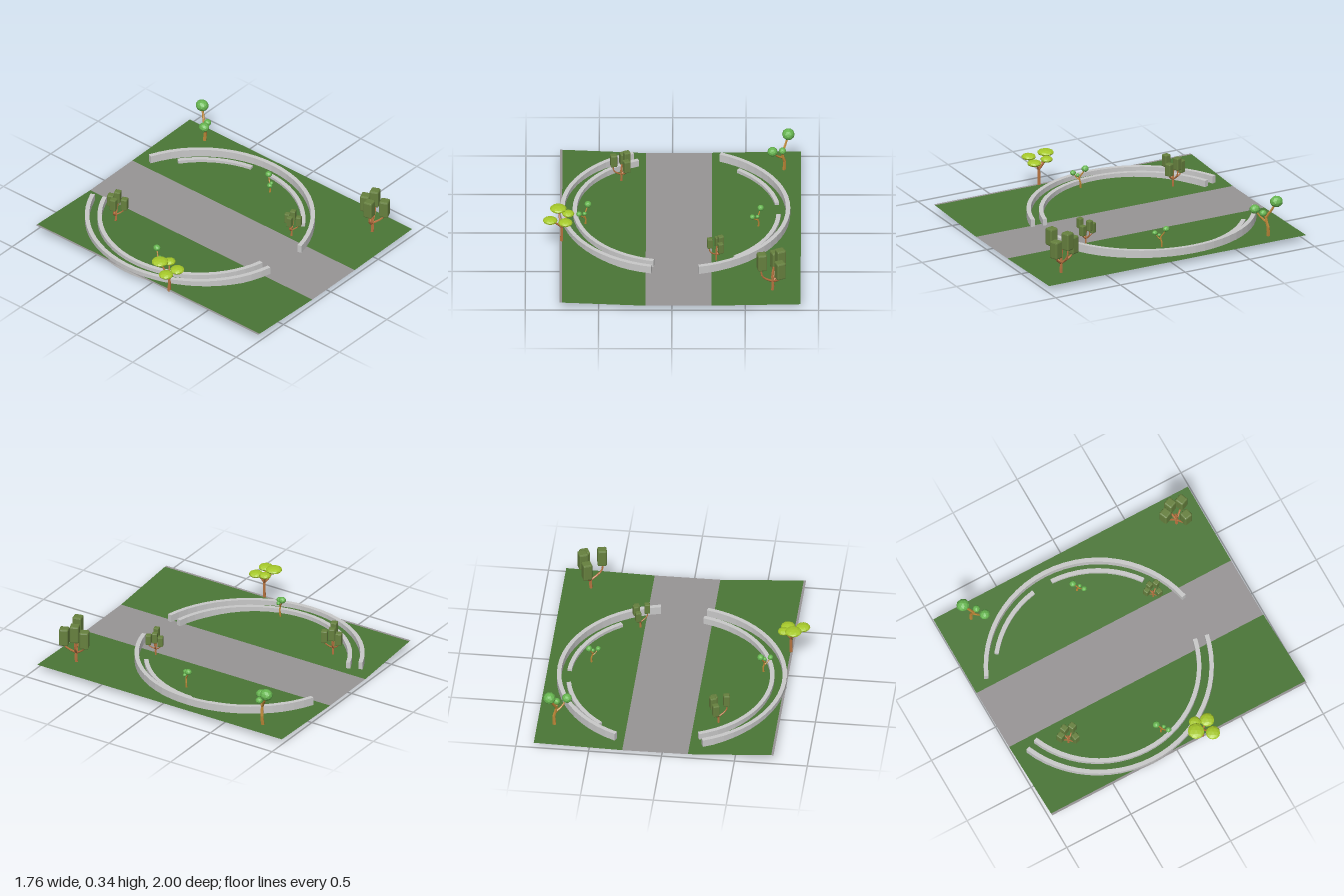
import * as THREE from 'three';
import { RoundedBoxGeometry } from 'three/addons/geometries/RoundedBoxGeometry.js';

const mat = (name, color, extra = {}) => new THREE.MeshStandardMaterial({ name, color, ...extra });

export function createModel() {
  const model = new THREE.Group();
  model.name = 'parkWithRingWalls';

  const grass = mat('grass', 0x4a7636, { side: THREE.DoubleSide });
  const road = mat('road', 0x979495, { side: THREE.DoubleSide });
  const stone = mat('stone', 0xc8c8c8);
  const bark = mat('bark', 0xb87440, { flatShading: true });
  const paleBark = mat('paleBark', 0xb98536, { flatShading: true });
  const olive = mat('oliveLeaves', 0x66803e, { flatShading: true });
  const green = mat('greenLeaves', 0x67b650, { flatShading: true });
  const lime = mat('limeLeaves', 0xa6c92a, { flatShading: true });

  const add = (parent, name, geometry, material) => {
    const mesh = new THREE.Mesh(geometry, material);
    mesh.name = name;
    parent.add(mesh);
    return mesh;
  };

  // Ground: flat strips between lines running front to back, [x, y, zBack, zFront]
  const strip = (name, a, b, material) => {
    const g = new THREE.BufferGeometry();
    g.setAttribute('position', new THREE.Float32BufferAttribute([
      a[0], a[1], a[2], a[0], a[1], a[3], b[0], b[1], b[3], b[0], b[1], b[2]], 3));
    g.setIndex([0, 1, 2, 0, 2, 3]);
    g.computeVertexNormals();
    add(model, name, g, material);
  };
  const lines = [[-0.767, 0.061, -0.985, 1], [-0.751, 0.06, -0.985, 1], [-0.18, 0.028, -0.995, 0.987],
    [0.27, 0.028, -1, 0.985], [0.877, 0.04, -1, 0.985]];
  strip('sideKerb', lines[0], lines[1], road);
  strip('leftLawn', lines[1], lines[2], grass);
  strip('road', lines[2], lines[3], road);
  strip('rightLawn', lines[3], lines[4], grass);

  // Curved walls: ring sectors of a common centre
  const wall = (name, radius, from, to, bottom, height) => {
    const a = THREE.MathUtils.degToRad(from), b = THREE.MathUtils.degToRad(to);
    const shape = new THREE.Shape();
    shape.absarc(0, 0, radius + 0.015, a, b, false);
    shape.absarc(0, 0, radius - 0.015, b, a, true);
    const g = new THREE.ExtrudeGeometry(shape, {
      depth: height, bevelEnabled: false, curveSegments: Math.ceil((to - from) / 12) });
    g.rotateX(-Math.PI / 2);
    add(model, name, g, stone).position.set(0.02, bottom, -0.185);
  };
  wall('outerWallLeft', 0.77, 112, 258, 0.037, 0.053);
  wall('innerWallLeft', 0.685, 111.7, 257.8, 0.037, 0.046);
  wall('outerWallRight', 0.77, -78, 66.6, 0.033, 0.057);
  wall('innerWallRightBack', 0.705, 10.1, 52.6, 0, 0.055);
  wall('innerWallRightFront', 0.705, -54.6, -1.7, 0, 0.055);

  // Tapered limb along a curve, closed at its foot
  const limb = (parent, name, points, r0, r1, material) => {
    const curve = new THREE.CatmullRomCurve3(points.map((p) => new THREE.Vector3(...p)));
    const rings = 8, sides = 6;
    const g = new THREE.TubeGeometry(curve, rings, 1, sides);
    const pos = g.attributes.position, v = new THREE.Vector3();
    for (let i = 0; i < pos.count; i++) {
      const t = Math.floor(i / (sides + 1)) / rings;
      const c = curve.getPointAt(t);
      v.fromBufferAttribute(pos, i).sub(c).multiplyScalar(r0 + (r1 - r0) * t).add(c);
      pos.setXYZ(i, v.x, v.y, v.z);
    }
    add(parent, name, g, material);
    const foot = add(parent, name + 'Foot', new THREE.CircleGeometry(r0, sides), material);
    foot.rotation.x = Math.PI / 2;
    foot.position.set(...points[0]);
  };

  const tree = (name, position, scale) => {
    const group = new THREE.Group();
    group.name = name;
    group.position.set(...position);
    group.scale.setScalar(scale);
    model.add(group);
    return group;
  };
  const clump = (parent, [x, y, z], [rx, ry, rz], material) => {
    const m = add(parent, 'leafClump', new THREE.IcosahedronGeometry(1, 1), material);
    m.position.set(x, y, z);
    m.scale.set(rx, ry, rz);
    return m;
  };

  // Trees with upright block foliage
  const blockTree = (position, scale) => {
    const t = tree('blockTree', position, scale);
    limb(t, 'trunk', [[0, 0, 0], [0.003, 0.06, 0.002], [0, 0.13, 0], [0.01, 0.2, -0.005]], 0.012, 0.008, bark);
    const blocks = [[-0.072, 0.262, 0.035], [0.054, 0.262, -0.02], [0.052, 0.215, 0.067], [0.02, 0.215, -0.076]];
    blocks.forEach(([x, y, z], i) => {
      limb(t, 'branch', [[0, 0.085, 0], [x * 0.6, 0.115, z * 0.6], [x, 0.15, z], [x, y, z]], 0.008, 0.005, bark);
      const b = add(t, 'leafBlock', new RoundedBoxGeometry(0.064, 0.126, 0.064, 1, 0.01), olive);
      b.position.set(x, y, z);
      b.rotation.y = 0.4 - (i === 0 ? 0.2 : 0);
    });
  };
  blockTree([0.685, 0.02, 0.79], 1);
  blockTree([-0.35, 0.027, -0.625], 0.71);
  blockTree([0.3, 0.024, 0.395], 0.59);

  // Trees with a bent trunk and rounded foliage
  const bentTree = (position, scale) => {
    const t = tree('bentTree', position, scale);
    limb(t, 'trunk', [[0, 0, 0], [0.005, 0.07, 0.004], [-0.012, 0.13, 0.012], [0.01, 0.19, -0.02], [0.03, 0.25, -0.045]],
      0.013, 0.007, paleBark);
    limb(t, 'branch', [[-0.006, 0.1, 0.008], [-0.045, 0.13, 0.035], [-0.078, 0.18, 0.063]], 0.008, 0.005, paleBark);
    limb(t, 'branch', [[-0.01, 0.13, 0.012], [-0.014, 0.15, 0.025], [-0.01, 0.17, 0.035]], 0.007, 0.005, paleBark);
    clump(t, [0.03, 0.255, -0.047], [0.043, 0.04, 0.046], green);
    clump(t, [-0.078, 0.182, 0.063], [0.035, 0.032, 0.037], green);
    clump(t, [-0.01, 0.17, 0.035], [0.026, 0.024, 0.026], green);
  };
  bentTree([0.76, 0.036, -0.77], 1);
  bentTree([-0.592, 0.048, -0.04], 0.56);
  bentTree([0.587, 0.032, -0.04], 0.52);

  // Tree with a flat, spreading crown
  const umbrella = tree('umbrellaTree', [-0.755, 0.05, 0.195], 1);
  limb(umbrella, 'trunk', [[0, 0, 0], [0.002, 0.07, 0], [0, 0.14, 0]], 0.012, 0.009, bark);
  const crown = [[-0.022, 0.228, -0.063, 0.058], [-0.077, 0.195, 0.038, 0.05],
    [0.027, 0.185, 0.05, 0.05], [0.046, 0.205, -0.035, 0.042]];
  for (const [x, y, z, r] of crown) {
    limb(umbrella, 'branch', [[0, 0.12, 0], [x * 0.4, 0.155, z * 0.4], [x, y, z]], 0.008, 0.005, bark);
    clump(umbrella, [x, y, z], [r, 0.021, r], lime);
  }

  return model;
}
